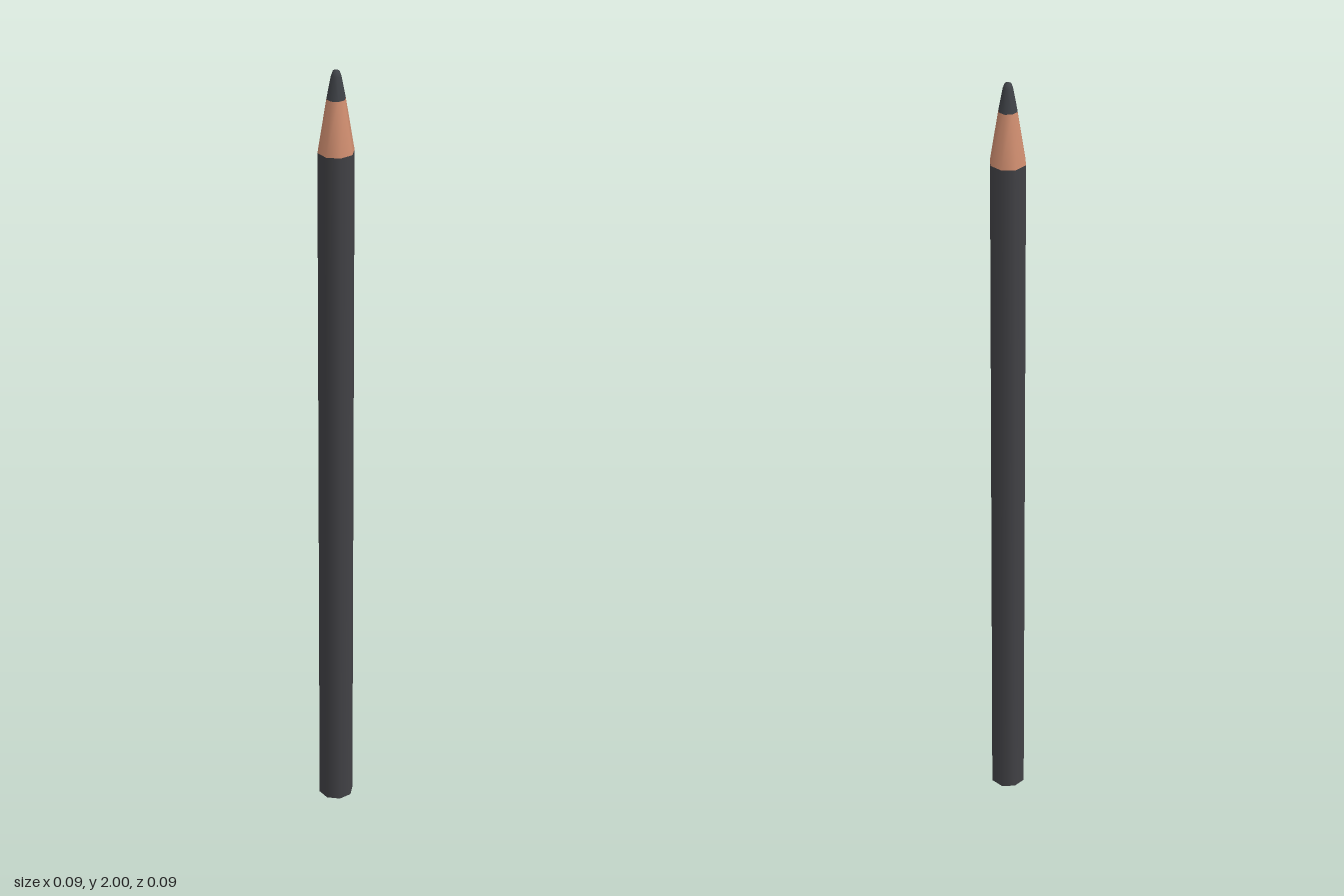
import * as THREE from 'three';

const SIDES = 8;
const RADIUS = 0.044;      // painted barrel
const LEAD_RADIUS = 0.023; // where the lead leaves the wood
const WOOD_Y = 1.8;
const LEAD_Y = 1.93;

export function createModel() {
  const paint = new THREE.MeshStandardMaterial({ color: 0x424246 });
  paint.name = 'charcoalPaint';
  const wood = new THREE.MeshStandardMaterial({ color: 0xd08e70 });
  wood.name = 'bareWood';
  const graphite = new THREE.MeshStandardMaterial({ color: 0x404348 });
  graphite.name = 'graphite';

  const group = new THREE.Group();
  group.name = 'pencil';
  const add = (name, geometry, material, y = 0) => {
    const mesh = new THREE.Mesh(geometry, material);
    mesh.name = name;
    mesh.position.y = y;
    group.add(mesh);
  };

  // Eight-sided painted barrel with a flat end
  add('barrel', new THREE.CylinderGeometry(RADIUS, RADIUS, WOOD_Y, SIDES), paint, WOOD_Y / 2);

  // Sharpened wooden cone
  add('sharpenedWood',
    new THREE.CylinderGeometry(LEAD_RADIUS, RADIUS, LEAD_Y - WOOD_Y, SIDES, 1, true),
    wood, (WOOD_Y + LEAD_Y) / 2);

  // Lead with a slightly blunted point
  const profile = [[LEAD_RADIUS, LEAD_Y], [0.0125, 1.985], [0.008, 1.997], [0, 2]]
    .map(([x, y]) => new THREE.Vector2(x, y));
  add('leadTip', new THREE.LatheGeometry(profile, SIDES), graphite);

  return group;
}
